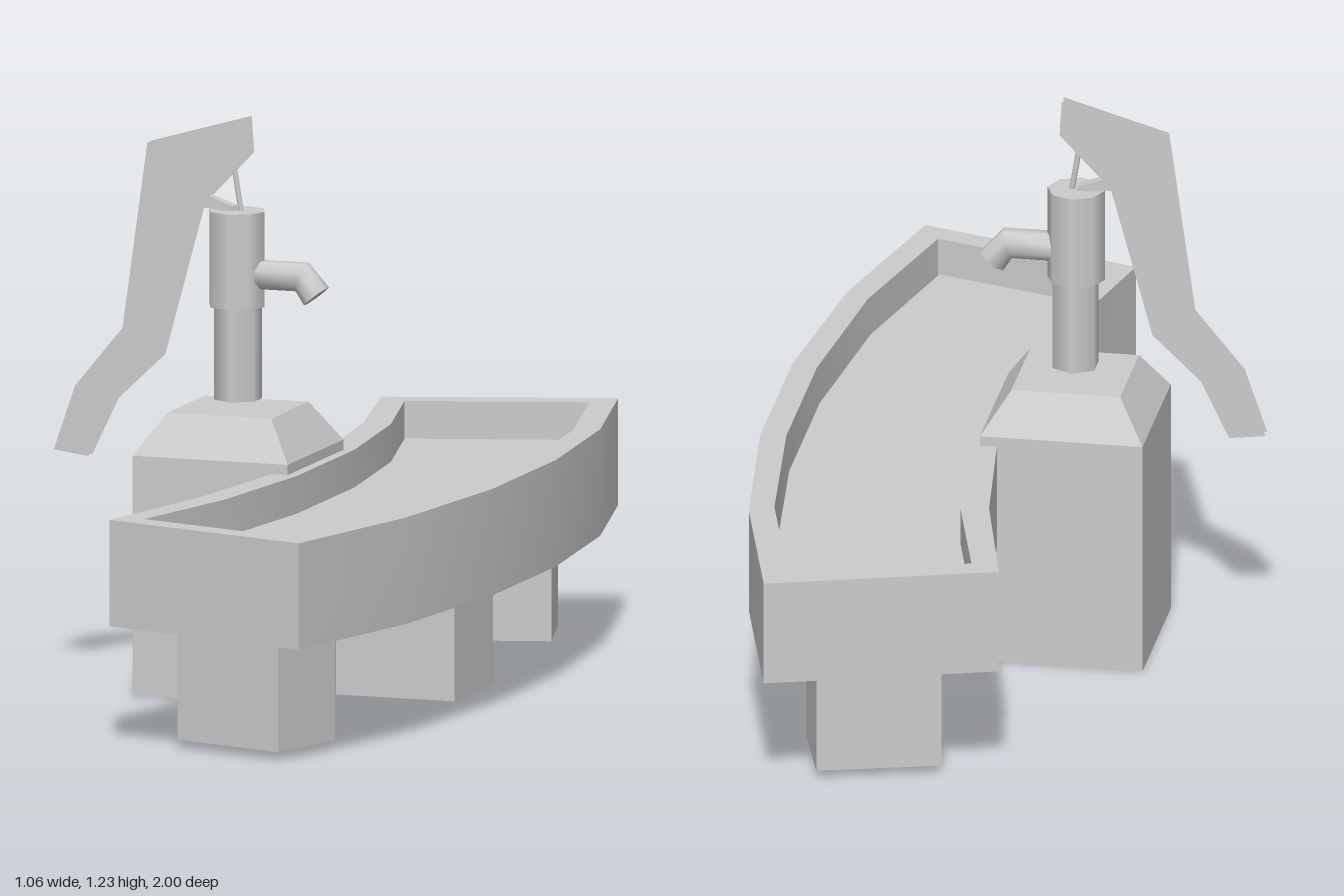
import * as THREE from 'three';
import { toCreasedNormals } from 'three/addons/utils/BufferGeometryUtils.js';

const material = new THREE.MeshStandardMaterial({ color: 0xcccccc });
const sheet = new THREE.MeshStandardMaterial({ color: 0xcccccc, side: THREE.DoubleSide });
const facetedSheet = new THREE.MeshStandardMaterial({ color: 0xcccccc, side: THREE.DoubleSide, flatShading: true });

const toShape = (pts) => new THREE.Shape(pts.map(([x, y]) => new THREE.Vector2(x, y)));

// Mirrors half an outline (listed from the end to the middle) across z = 0
const mirrored = (half) => [...half, ...half.map(([x, z]) => [x, -z]).reverse()];

// Closed plan outline: outer arc, then inner arc back again
const planOutline = (outer, inner) => [...mirrored(outer), ...mirrored(inner).reverse()];

// Upright wall following a closed plan outline, smooth along the arcs, sharp at the corners
function wall(outline, y0, y1) {
  const positions = outline.flatMap(([x, z]) => [x, y0, z, x, y1, z]);
  const count = outline.length;
  const index = [];
  for (let i = 0; i < count; i++) {
    const a = 2 * i;
    const b = 2 * ((i + 1) % count);
    index.push(a, b, b + 1, a, b + 1, a + 1);
  }
  const geo = new THREE.BufferGeometry();
  geo.setAttribute('position', new THREE.Float32BufferAttribute(positions, 3));
  geo.setIndex(index);
  return toCreasedNormals(geo, 0.6);
}

// Level face filling a plan shape
const level = (shape, y) => new THREE.ShapeGeometry(shape).rotateX(-Math.PI / 2).translate(0, y, 0);

// Four-sided block, open underneath; the profile lists [half width, height] upwards
function openBlock(profile) {
  const points = profile.map(([half, y]) => new THREE.Vector2(half * Math.SQRT2, y));
  return new THREE.LatheGeometry(points, 4, Math.PI / 4);
}

export function createModel() {
  const model = new THREE.Group();
  model.name = 'waterPumpWithTrough';

  function add(name, geometry, mat = material) {
    const mesh = new THREE.Mesh(geometry, mat);
    mesh.name = name;
    model.add(mesh);
    return mesh;
  }

  // Curved trough: hollow walls under a flat rim, a floor, and water filling most of the basin
  const outside = planOutline(
    [[0.38, 1], [0.48, 0.61], [0.527, 0.2]],
    [[-0.1, 0.85], [-0.02, 0.51], [0.022, 0.17]]);
  const innerArc = [[-0.035, 0.815], [0.04, 0.52], [0.08, 0.18]];
  const inside = planOutline([[0.34, 0.93], [0.43, 0.58], [0.472, 0.19]], innerArc);
  const waterline = planOutline([[0.337, 0.928], [0.424, 0.58], [0.466, 0.19]], innerArc);
  const bottom = 0.264;
  const floor = 0.297;
  const top = 0.493;
  const rim = toShape(outside);
  rim.holes.push(toShape(inside));
  add('troughOuterWall', wall(outside, bottom, top), sheet);
  add('troughInnerWall', wall(inside, floor, top), sheet);
  add('troughRim', level(rim, top), sheet);
  add('troughFloor', level(toShape(inside), floor), sheet);
  add('waterSurface', level(toShape(waterline), 0.412), sheet);

  // Three block legs following the curve
  const legs = [[0.188, 0.732, 0.304, 0.2], [0.281, 0, 0, 0.24], [0.188, -0.742, -0.28, 0.2]];
  for (const [x, z, turn, depth] of legs) {
    const leg = add('troughLeg', openBlock([[0.5, 0], [0.5, 1], [0, 1]]), facetedSheet);
    leg.scale.set(0.267, bottom - 0.018, depth);
    leg.position.set(x, 0.018, z);
    leg.rotation.y = -turn;
  }

  // Square pedestal with a sloped cap
  const pedestal = openBlock([[0.175, 0], [0.175, 0.515], [0.117, 0.602], [0, 0.602]]);
  add('pedestal', pedestal, facetedSheet).position.x = -0.117;

  // Pump pipe and wider head
  add('pumpPipe', new THREE.CylinderGeometry(0.052, 0.052, 0.2, 6)).position.set(-0.117, 0.72, 0);
  add('pumpHead', new THREE.CylinderGeometry(0.062, 0.062, 0.205, 8)).position.set(-0.119, 0.9225, 0);

  // Bent spout: each ring has a centre and an in-plane "up" direction
  const rings = [
    { c: [-0.08, 0.89], up: [0, 1] },
    { c: [0.028, 0.89], up: [0.36, 1] },
    { c: [0.06, 0.85], up: [0.8, 0.64] },
  ];
  const spout = new THREE.CylinderGeometry(0.032, 0.032, 1, 8, 2).rotateY(Math.PI / 8);
  const sp = spout.attributes.position;
  for (let i = 0; i < sp.count; i++) {
    const { c, up } = rings[Math.round(sp.getY(i) * 2) + 1];
    const u = -sp.getX(i);
    sp.setXYZ(i, c[0] + up[0] * u, c[1] + up[1] * u, sp.getZ(i));
  }
  add('spout', toCreasedNormals(spout, 0.9));

  // Handle: a pair of thin parallel plates
  const handle = toShape([
    [-0.317, 1.162], [-0.373, 0.76], [-0.48, 0.63], [-0.528, 0.49], [-0.45, 0.48], [-0.39, 0.605],
    [-0.285, 0.705], [-0.195, 1.035], [-0.18, 1.05], [-0.085, 1.15], [-0.09, 1.228],
  ]);
  for (const z of [-0.012, 0.012]) {
    add('handlePlate', new THREE.ShapeGeometry(handle), sheet).position.z = z;
  }

  // Pivot bracket from the pump head to the handle
  const bracket = toShape([[-0.26, 1.1], [-0.2, 1.03], [-0.12, 1.022], [-0.125, 1.035], [-0.18, 1.055], [-0.235, 1.115]]);
  add('pivotBracket', new THREE.ExtrudeGeometry(bracket, { depth: 0.023, bevelEnabled: false }).translate(0, 0, -0.0115));

  // Piston rod
  const rod = add('pistonRod', new THREE.CylinderGeometry(0.006, 0.006, 0.14, 8));
  rod.position.set(-0.12, 1.085, 0);
  rod.rotation.z = 0.16;

  return model;
}
